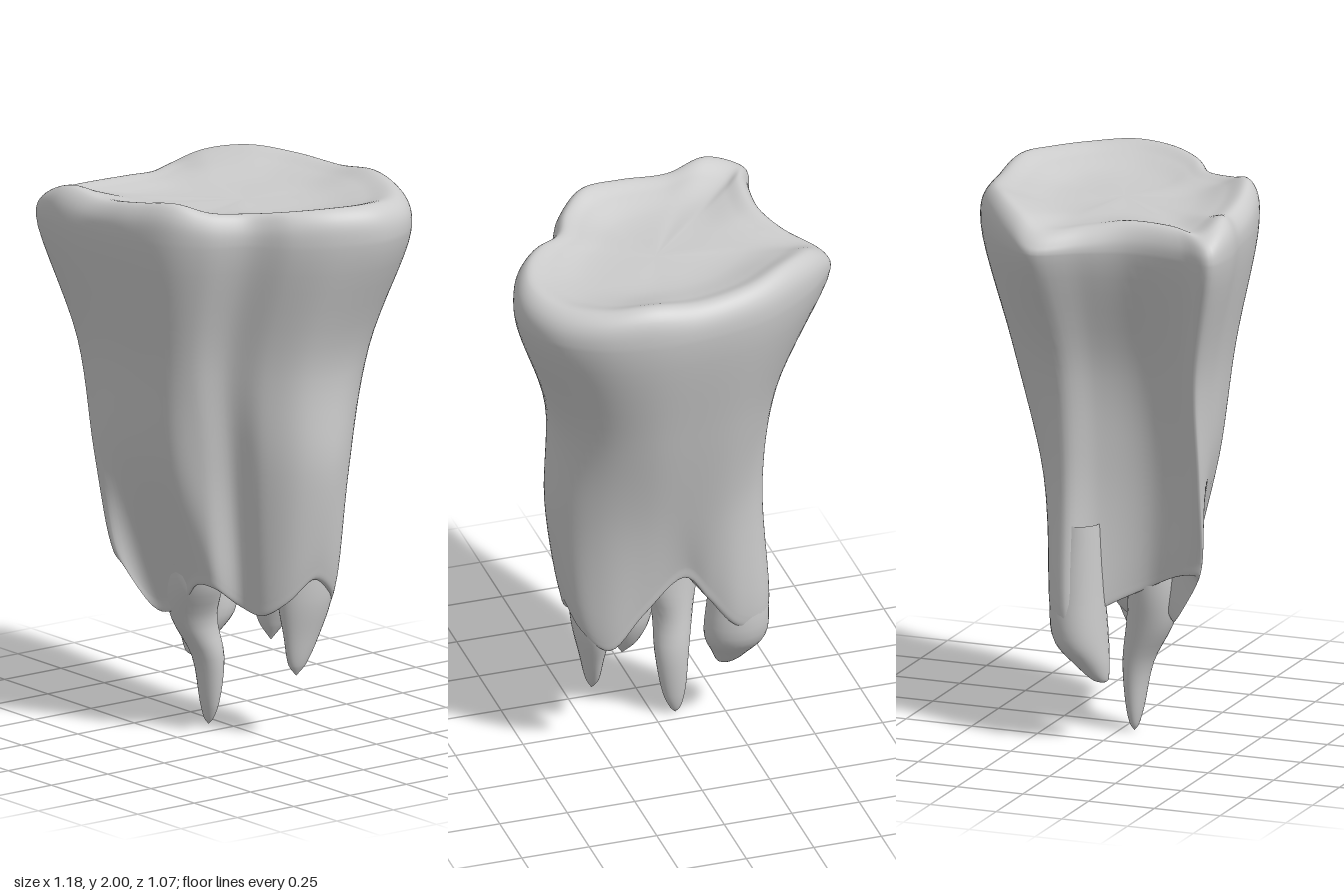
import * as THREE from 'three';

const material = new THREE.MeshStandardMaterial({ color: 0xcccccc });
const V = (x, y, z) => new THREE.Vector3(x, y, z);

// Joins rows of points (clockwise seen from above, top row first) into a smooth skin
function skin(name, rows) {
  const n = rows[0].length, index = [];
  for (let r = 0; r < rows.length - 1; r++) {
    for (let i = 0; i < n; i++) {
      const a = r * n + i, c = r * n + (i + 1) % n;
      index.push(a, c, a + n, a + n, c, c + n);
    }
  }
  const geometry = new THREE.BufferGeometry().setFromPoints(rows.flat());
  geometry.setIndex(index);
  geometry.computeVertexNormals();
  const mesh = new THREE.Mesh(geometry, material);
  mesh.name = name;
  return mesh;
}

// Outlines around the tooth, one entry per rib: [x, z]
const crown = [[-.59, -.14], [-.53, -.25], [-.40, -.375], [-.23, -.475], [0, -.525], [.2, -.53], [.38, -.485],
  [.52, -.38], [.585, -.22], [.55, -.05], [.46, .09], [.34, .19], [.27, .33], [.17, .42], [0, .475],
  [-.2, .5], [-.36, .53], [-.49, .5], [-.46, .38], [-.445, .17], [-.5, .02]];
const neck = [[-.40, -.11], [-.37, -.2], [-.29, -.3], [-.17, -.38], [0, -.415], [.16, -.42], [.3, -.37],
  [.4, -.27], [.44, -.15], [.42, 0], [.33, .11], [.22, .19], [.17, .3], [.1, .36], [-.02, .39],
  [-.18, .41], [-.32, .42], [-.38, .4], [-.34, .33], [-.3, .17], [-.34, 0]];
const waist = [[-.35, -.1], [-.32, -.17], [-.25, -.23], [-.15, -.28], [0, -.3], [.14, -.31], [.29, -.28],
  [.39, -.21], [.44, -.1], [.41, .02], [.31, .11], [.19, .15], [.14, .24], [.07, .31], [-.03, .34],
  [-.16, .37], [-.26, .39], [-.305, .385], [-.26, .31], [-.23, .17], [-.29, 0]];
const hem = [[-.375, -.09], [-.34, -.16], [-.24, -.2], [-.13, -.21], [-.03, -.22], [.13, -.23], [.26, -.22],
  [.355, -.18], [.385, -.08], [.35, .02], [.28, .08], [.18, .11], [.14, .2], [.06, .22], [-.06, .21],
  [-.15, .24], [-.21, .355], [-.235, .365], [-.225, .29], [-.19, .14], [-.27, -.01]];
// Height of the chewing rim and of the lower edge at each rib
const rimY = [1.92, 1.965, 1.99, 1.98, 1.97, 1.99, 1.975, 1.97, 1.98, 1.98, 1.97, 1.955, 1.965, 1.995, 1.975,
  1.955, 1.98, 1.94, 1.95, 1.95, 1.93];
const hemY = [.42, .42, .46, .59, .7, .58, .45, .53, .6, .52, .47, .49, .56, .56, .45,
  .43, .6, .63, .62, .55, .48];

// Crown and walls: each rib runs from the basin, over the rim, down and under
function buildBody() {
  const ribs = crown.map(([x, z], i) => {
    const ring = (s, y) => V(x * s, y, z * s);
    const [hx, hz] = hem[i];
    return new THREE.CatmullRomCurve3([
      V(.02, 1.92, -.03), ring(.5, 1.925), ring(.74, (rimY[i] + 1.93) / 2), ring(.9, rimY[i]),
      ring(.98, rimY[i] - .04), ring(1, 1.845),
      V(neck[i][0], 1.4, neck[i][1]), V(waist[i][0], 1, waist[i][1]),
      V(hx, hemY[i] + .05, hz), V(hx * .95, hemY[i], hz * .94),
      V(hx * .82, hemY[i] + .03, hz * .8), V(0, .72, .0)]);
  });
  const rows = [];
  for (let r = 0; r <= 77; r++) {
    const loop = new THREE.CatmullRomCurve3(ribs.map(rib => rib.getPoint(r / 77)), true);
    rows.push(loop.getPoints(126).slice(0, -1));
  }
  return skin('crownAndWalls', rows);
}

// Root: a smooth taper through stations [x, y, z, half width, half depth]
function buildRoot(name, stations) {
  const spine = new THREE.CatmullRomCurve3(stations.map(([x, y, z]) => V(x, y, z)));
  const width = new THREE.CatmullRomCurve3(stations.map(s => V(s[3], s[1], s[4])));
  const rows = [];
  for (let r = 0; r <= 24; r++) {
    const p = spine.getPoint(r / 24), w = width.getPoint(r / 24), row = [];
    for (let i = 0; i < 28; i++) {
      const a = i / 28 * Math.PI * 2;
      row.push(V(p.x - Math.cos(a) * Math.max(w.x, 0), p.y, p.z - Math.sin(a) * Math.max(w.z, 0)));
    }
    rows.push(row);
  }
  return skin(name, rows);
}

export function createModel() {
  const tooth = new THREE.Group();
  tooth.name = 'tooth';
  tooth.add(
    buildBody(),
    buildRoot('mainRoot', [[-.06, .7, .13, .13, .1], [-.065, .54, .13, .12, .1], [-.085, .4, .11, .075, .085],
      [-.07, .25, .06, .062, .055], [-.075, .08, .05, .04, .03], [-.08, .02, .05, .018, .014], [-.08, 0, .05, 0, 0]]),
    buildRoot('bladeRoot', [[-.26, .8, -.08, .09, .08], [-.265, .56, -.09, .105, .095], [-.26, .37, -.08, .113, .095],
      [-.255, .28, -.04, .07, .06], [-.245, .22, -.01, .03, .025], [-.24, .21, 0, 0, 0]]),
    buildRoot('sideRoot', [[.28, .75, -.08, .08, .1], [.28, .52, -.1, .07, .11], [.277, .38, -.09, .042, .075],
      [.27, .27, -.075, .022, .035], [.27, .23, -.07, 0, 0]]),
    buildRoot('smallRoot', [[.14, .7, -.06, .1, .1], [.14, .5, -.07, .085, .08], [.142, .4, -.06, .045, .045],
      [.15, .34, -.05, 0, 0]]));
  return tooth;
}
